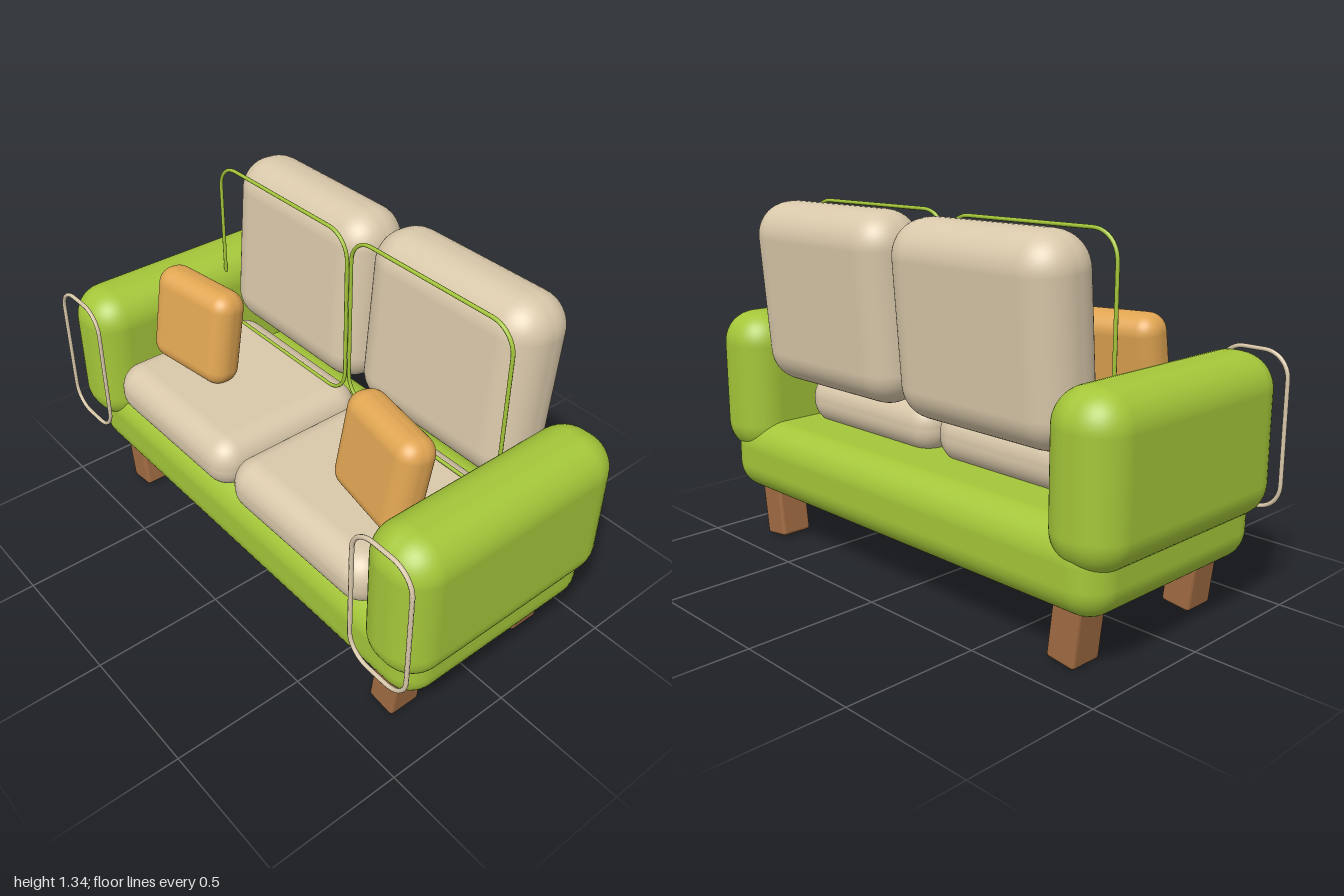
import * as THREE from 'three';
import { RoundedBoxGeometry } from 'three/addons/geometries/RoundedBoxGeometry.js';

const mat = (name, color) => {
  const m = new THREE.MeshStandardMaterial({ color });
  m.name = name;
  return m;
};

export function createModel() {
  const green = mat('green fabric', 0xa4c639);
  const beige = mat('beige fabric', 0xd9c8aa);
  const orange = mat('orange fabric', 0xe0a552);
  const wood = mat('brown wood', 0xa06b42);
  const model = new THREE.Group();
  model.name = 'sofa';

  // Soft box with given size, centre, edge radius and rotation
  const soft = (name, material, size, pos, radius, rot = [0, 0, 0]) => {
    const mesh = new THREE.Mesh(new RoundedBoxGeometry(...size, 6, radius), material);
    mesh.name = name;
    mesh.position.set(...pos);
    mesh.rotation.set(...rot);
    model.add(mesh);
  };

  // Closed piping loop following a rounded rectangle facing the front
  const piping = (name, material, w, h, corner, pos, thickness) => {
    const path = new THREE.CurvePath();
    const x = w / 2 - corner, y = h / 2 - corner;
    const centres = [[x, y], [-x, y], [-x, -y], [x, -y]];
    const points = [];
    centres.forEach(([cx, cy], i) => {
      for (let k = 0; k <= 8; k++) {
        const a = (i + k / 8) * Math.PI / 2;
        points.push(new THREE.Vector3(cx + corner * Math.cos(a), cy + corner * Math.sin(a), 0));
      }
    });
    points.forEach((p, i) => path.add(new THREE.LineCurve3(p, points[(i + 1) % points.length])));
    const mesh = new THREE.Mesh(new THREE.TubeGeometry(path, 160, thickness, 8, true), material);
    mesh.name = name;
    mesh.position.set(...pos);
    model.add(mesh);
  };

  // Base
  soft('base', green, [1.9, 0.29, 0.86], [0, 0.335, -0.02], 0.11);

  for (const s of [-1, 1]) {
    const side = s > 0 ? 'left' : 'right';
    const lift = s > 0 ? 0.01 : 0;

    // Armrests with front piping
    soft(side + 'Armrest', green, [0.278, 0.565, 0.93], [s * 0.86, 0.6225, -0.005], 0.125);
    piping(side + 'ArmPiping', beige, 0.262, 0.545, 0.09, [s * 0.86, 0.622, 0.467], 0.008);

    // Seat and back cushions
    soft(side + 'SeatCushion', beige, [0.725, 0.205, 0.66], [s * 0.368, 0.557, 0.1], 0.095);
    soft(side + 'BackCushion', beige, [0.755, 0.68, 0.27], [s * 0.381, 0.99 + lift, -0.3], 0.125, [-0.08, 0, 0]);
    piping(side + 'BackPiping', green, 0.74, 0.66, 0.095, [s * 0.381, 0.99 + lift, -0.137], 0.007);

    // Throw pillows, turned inward and leaning back
    soft(side + 'Pillow', orange, [0.38, 0.375, 0.145], [s * 0.52, 0.835, 0.155], 0.065,
      [-0.16, -s * 0.15, s > 0 ? -0.05 : 0]);

    // Legs
    for (const [end, z] of [['front', 0.283], ['back', -0.313]]) {
      soft(side + end[0].toUpperCase() + end.slice(1) + 'Leg', wood, [0.115, 0.24, 0.128],
        [s * 0.773, 0.125, z], 0.014, [0, 0, -s * 0.12]);
    }
  }
  return model;
}
